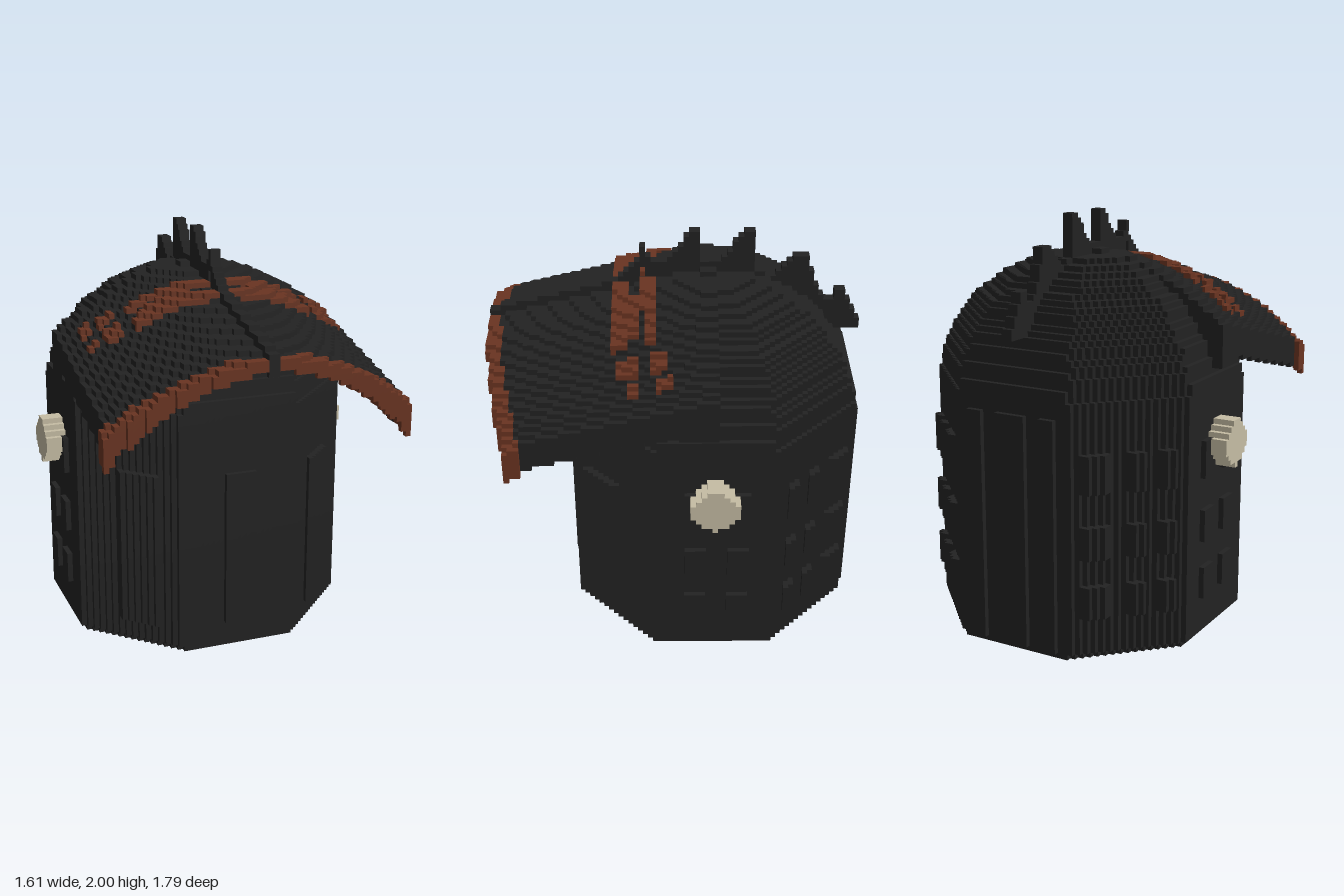
import * as THREE from 'three';

const U = 2 / 77; // edge of one block
const ZC = -7 * U; // centre of the eight-sided body

const material = (name, color) => {
  const m = new THREE.MeshStandardMaterial({ color });
  m.name = name;
  return m;
};

// Turns a solid rule into a blocky surface, keeping only the exposed block faces
function blocks(name, mat, inside) {
  const test = (i, j, k) => j >= 0 && inside((i + 0.5) * U, (j + 0.5) * U, k * U);
  const pos = [], nor = [], index = [];
  const ring = [[0, 0], [1, 0], [1, 1], [0, 1]];
  for (let i = -32; i < 32; i++) for (let j = 0; j < 77; j++) for (let k = -34; k <= 34; k++) {
    if (!test(i, j, k)) continue;
    for (let a = 0; a < 3; a++) for (const s of [-1, 1]) {
      const n = [0, 0, 0];
      n[a] = s;
      if (test(i + n[0], j + n[1], k + n[2])) continue;
      const base = pos.length / 3;
      for (const [p, q] of ring) {
        const c = [i, j, k - 0.5];
        c[a] += s > 0 ? 1 : 0;
        c[(a + 1) % 3] += p;
        c[(a + 2) % 3] += q;
        pos.push(c[0] * U, c[1] * U, c[2] * U);
        nor.push(...n);
      }
      const order = s > 0 ? [0, 1, 2, 0, 2, 3] : [0, 2, 1, 0, 3, 2];
      index.push(...order.map((o) => base + o));
    }
  }
  const g = new THREE.BufferGeometry();
  g.setAttribute('position', new THREE.Float32BufferAttribute(pos, 3));
  g.setAttribute('normal', new THREE.Float32BufferAttribute(nor, 3));
  g.setIndex(index);
  const mesh = new THREE.Mesh(g, mat);
  mesh.name = name;
  return mesh;
}

const within = (v, ranges) => ranges.some(([a, b]) => v > a && v < b);

// Eight-sided walls closing into a rounded dome
function inBody(x, y, z) {
  if (y > 1.805) return false;
  const t = Math.max(0, (y - 1.13) / 0.68);
  const s = Math.sqrt(Math.max(0, 1 - t * t));
  const ax = Math.abs(x), az = Math.abs(z - ZC), foot = y < 0.03;
  return ax < (foot ? 26 : 27) * U * s && az < 26.5 * U * s && ax + az < (foot ? 0.96 : 0.985) * s;
}

// Raised plates on the walls
const rows = [[0.2, 0.36], [0.5, 0.66], [0.81, 0.98]];
const sideCols = [[-0.18, -0.06], [0.05, 0.13]];
const backCols = [[0, 0.08], [0.16, 0.24]];
const cornerCols = [[-0.3, -0.14], [0, 0.1], [0.2, 0.32]];
function inPlates(x, y, z) {
  const ax = Math.abs(x), dz = z - ZC, sum = ax + Math.abs(dz), diff = ax - Math.abs(dz);
  const tall = y > 0.14 && y < 0.9;
  if (dz > 26.5 * U && dz < 27.5 * U) return tall && ax < 3 * U;
  if (dz < -26.5 * U && dz > -27.5 * U) return y > 0.03 && y < 1.13 && within(ax, backCols);
  if (ax > 27 * U && ax < 28 * U) return within(y, rows) && within(dz, sideCols);
  if (sum < 0.96 || sum > 1.03 || ax > 27 * U || Math.abs(dz) > 26.5 * U) return false;
  return dz > 0 ? tall && ax > 0.4 && ax < 0.55 : within(y, rows) && within(diff, cornerCols);
}

// Arched visor sheet that slopes down toward the front
const visorTop = (x, z) => Math.min(1.81, 1.56 + 0.25 * (0.87 - z)) - 0.6 * x * x;
const visorFront = (x) => 0.9 - 0.22 * x * x;
function inSheet(x, y, z) {
  const top = visorTop(x, z);
  let low = top - 0.055 - 0.18 * x * x;
  if (z < 0) low = Math.min(low, 1.3);
  return y < top && y > low;
}
const inVisor = (x, y, z) =>
  Math.abs(x) < 0.735 && z > -0.2 && z < visorFront(x) - 0.065 && inSheet(x, y, z);
const inRim = (x, y, z) =>
  Math.abs(x) < 0.765 && Math.abs(x) > U && z < visorFront(x) && z > visorFront(x) - 0.07 && inSheet(x, y, z);

// Broken stripes across the visor: x from, x to, z from, z to
const stripes = [
  [0.03, 0.27, 0.09, 0.16], [0.27, 0.45, 0.08, 0.15], [0.5, 0.56, 0.05, 0.12], [0.6, 0.66, 0.02, 0.1],
  [0.03, 0.27, 0.22, 0.29], [0.27, 0.45, 0.22, 0.29], [0.16, 0.38, 0.17, 0.21],
  [0.5, 0.56, 0.18, 0.26], [0.6, 0.66, 0.16, 0.23],
];
function inStripes(x, y, z) {
  const ax = Math.abs(x), top = visorTop(x, z);
  return y > top - 0.04 && y < top + 0.028 &&
    stripes.some(([a, b, c, d]) => ax > a && ax < b && z > c && z < d);
}

// Upper outline of the crest from front to back, as z and y
const crestLine = [
  [0.9, 1.585], [0.27, 1.75], [0.19, 1.83], [0.16, 1.91], [0.14, 1.91], [0.12, 1.83], [0.04, 1.84],
  [-0.08, 2], [-0.11, 2.01], [-0.125, 1.84], [-0.2, 1.84], [-0.34, 2], [-0.365, 2.01], [-0.39, 1.8],
  [-0.46, 1.77], [-0.57, 1.87], [-0.62, 1.87], [-0.66, 1.75], [-0.7, 1.67], [-0.74, 1.61],
  [-0.78, 1.68], [-0.82, 1.69], [-0.84, 1.6], [-0.9, 1.52],
];
function crestTop(z) {
  const n = crestLine.findIndex(([pz]) => pz <= z);
  if (n < 1) return 0;
  const [[z0, y0], [z1, y1]] = [crestLine[n - 1], crestLine[n]];
  return y0 + ((y1 - y0) * (z - z0)) / (z1 - z0);
}
function inCrest(x, y, z) {
  if (Math.abs(x) > U) return false;
  const top = crestTop(z);
  return y < top && y > (z > 0 ? top - 0.1 : 1.48);
}

// Round ear caps
const inEars = (x, y, z) =>
  Math.abs(x) > 27 * U && Math.abs(x) < 31 * U && Math.hypot(y - 0.95, z - ZC) < 0.108;

export function createModel() {
  const charcoal = material('charcoal', 0x222222);
  const rust = material('rust', 0x6a3421);
  const cream = material('cream', 0xc6bda4);

  const model = new THREE.Group();
  model.name = 'helmet';
  model.add(
    blocks('body', charcoal, inBody),
    blocks('wallPlates', charcoal, inPlates),
    blocks('visor', charcoal, inVisor),
    blocks('visorRim', rust, inRim),
    blocks('visorStripes', rust, inStripes),
    blocks('crest', charcoal, inCrest),
    blocks('earCaps', cream, inEars),
  );
  return model;
}
